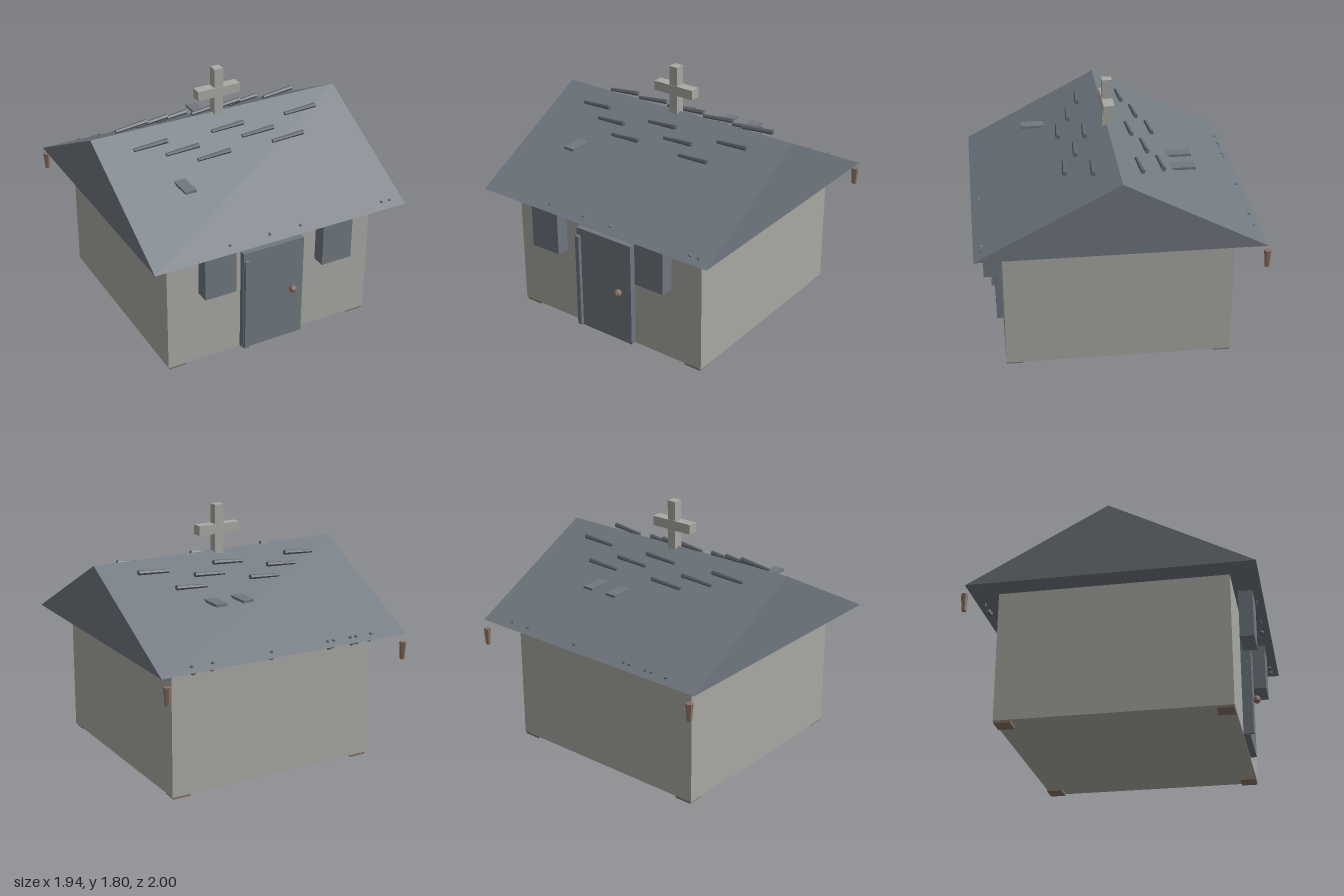
import * as THREE from 'three';

const mat = (name, color) => {
  const m = new THREE.MeshStandardMaterial({ color, flatShading: true });
  m.name = name;
  return m;
};

export function createModel() {
  const stone = mat('pale stone', 0xa9aaa4);
  const slate = mat('blue grey slate', 0x707880);
  const dark = mat('dark slate', 0x61686f);
  const bronze = mat('brown bronze', 0x8a7060);
  const footing = mat('footing brown', 0x857465);

  const house = new THREE.Group();
  house.name = 'chapel';
  const RIDGE_Z = 0.015;

  const add = (name, geometry, material) => {
    const mesh = new THREE.Mesh(geometry, material);
    mesh.name = name;
    house.add(mesh);
    return mesh;
  };
  // Box given by its limits on each axis
  const box = (name, material, [x0, x1], [y0, y1], [z0, z1]) => {
    const mesh = add(name, new THREE.BoxGeometry(x1 - x0, y1 - y0, z1 - z0), material);
    mesh.position.set((x0 + x1) / 2, (y0 + y1) / 2, (z0 + z1) / 2);
    return mesh;
  };
  // Tapered rod from point a to point b
  const rod = (name, material, a, b, ra, rb, sides) => {
    const p = new THREE.Vector3(...a), q = new THREE.Vector3(...b);
    const d = q.clone().sub(p);
    const mesh = add(name, new THREE.CylinderGeometry(rb, ra, d.length(), sides), material);
    mesh.position.copy(p).add(q).multiplyScalar(0.5);
    mesh.quaternion.setFromUnitVectors(new THREE.Vector3(0, 1, 0), d.normalize());
    return mesh;
  };

  // Walls and corner footings
  box('walls', stone, [-0.8, 0.8], [0.015, 0.95], [-0.78, 0.81]);
  for (const x of [-0.727, 0.727])
    for (const z of [-0.722, 0.75])
      box('footing', footing, [x - 0.065, x + 0.065], [0, 0.016], [z - 0.057, z + 0.057]);

  // Gabled roof, a solid triangular prism
  const gable = new THREE.Shape([
    new THREE.Vector2(-0.985, 0.945),
    new THREE.Vector2(0.985, 0.945),
    new THREE.Vector2(0, 1.465),
  ]);
  const roofGeometry = new THREE.ExtrudeGeometry(gable, { depth: 1.94, bevelEnabled: false });
  roofGeometry.translate(0, 0, -0.97).rotateY(Math.PI / 2);
  add('roof', roofGeometry, slate).position.z = RIDGE_Z;

  // Ridge cross
  box('crossUpright', stone, [-0.034, 0.034], [1.44, 1.8], [-0.023, 0.047]);
  box('crossArm', stone, [-0.165, 0.165], [1.59, 1.66], [-0.026, 0.05]);

  // Door with hinge strip and knob
  box('door', slate, [-0.24, 0.236], [0.02, 0.805], [0.808, 0.855]);
  box('hingeStrip', slate, [-0.236, -0.204], [0.03, 0.75], [0.853, 0.88]);
  add('doorKnob', new THREE.SphereGeometry(0.029, 7, 5), bronze).position.set(0.142, 0.42, 0.882);

  // Window shutters
  for (const x of [-0.46, 0.457])
    box('shutter', slate, [x - 0.118, x + 0.118], [0.59, 0.93], [0.84, 0.938]);

  // Tapered battens lying in staggered rows on both slopes
  const rows = [
    { y: 1.41, out: 0.16, xs: [-0.595, 0, 0.59] },
    { y: 1.365, out: 0.245, xs: [-0.395, 0.197] },
    { y: 1.318, out: 0.334, xs: [-0.198, 0.39] },
  ];
  for (const side of [1, -1])
    for (const { y, out, xs } of rows)
      for (const x of xs)
        rod('batten', dark,
          [x - 0.123, y - 0.01, RIDGE_Z + side * (out - 0.006)],
          [x + 0.123, y + 0.01, RIDGE_Z + side * (out + 0.006)], 0.013, 0.018, 6);

  // Flat slates sticking out of the slopes
  for (const [x, z] of [[-0.507, 0.517], [0.092, -0.493], [0.302, -0.493]])
    box('looseSlate', slate, [x - 0.042, x + 0.042], [1.227, 1.245], [z - 0.087, z + 0.087]);

  // Small pegs driven through the eaves: [top x, bottom x]
  const frontPegs = [[-0.4, -0.37], [-0.1, -0.06], [0.15, 0.11], [0.81, 0.77], [0.87, 0.866]];
  const backPegs = [[-0.7, -0.68], [-0.57, -0.58], [-0.52, -0.54], [-0.385, -0.37],
    [-0.33, -0.35], [0.12, 0.12], [0.57, 0.58], [0.73, 0.71]];
  const pegs = (list, z) => list.forEach(([top, bottom]) =>
    rod('eavePeg', dark, [bottom, 0.92, z], [top, 0.978, z], 0.017, 0.012, 6));
  pegs(frontPegs, 0.942);
  pegs(backPegs, -0.918);

  // Tapered pendants at the back corners
  for (const x of [-0.94, 0.934])
    rod('cornerPendant', bronze, [x, 0.765, -0.977], [x, 0.89, -0.977], 0.017, 0.026, 6);

  return house;
}
